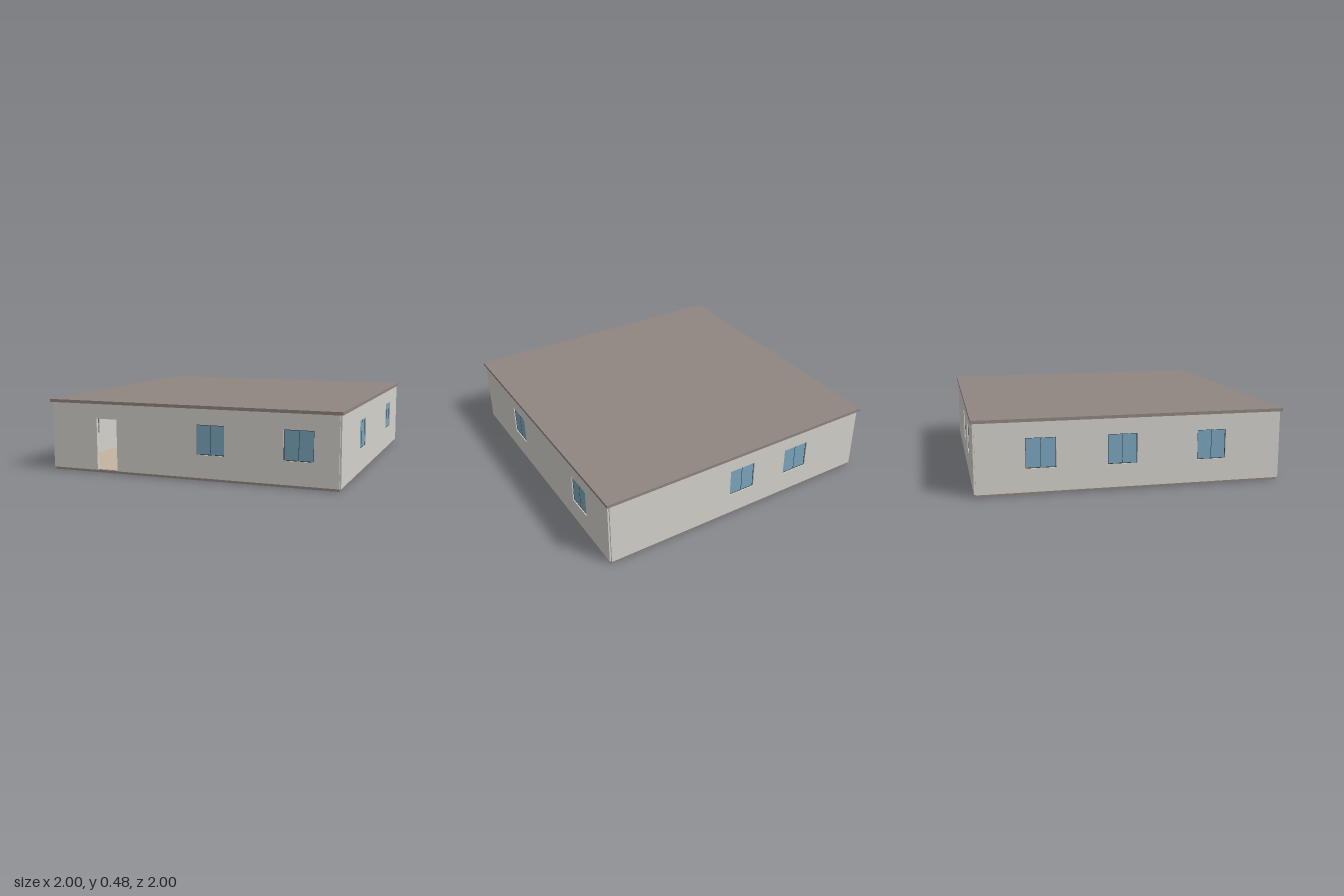
import * as THREE from 'three';

const mat = (color) => new THREE.MeshStandardMaterial({ color });
const wallMat = mat(0xd3d1cb);
const roofMat = mat(0x8f8580);
const floorMat = mat(0xc4b3a0);
const glassMat = mat(0x7ba6bd);
const frameMat = mat(0x3a4248);

const AXIS = 0.98;        // distance of the wall centre lines from the middle
const THICK = 0.02;
const BASE = 0.017;       // top of the slab
const EAVES = 0.458;
const SILL = 0.166, HEAD = 0.357, WIN = 0.19;

function box(name, material, w, h, d, x, y, z) {
  const mesh = new THREE.Mesh(new THREE.BoxGeometry(w, h, d), material);
  mesh.name = name;
  mesh.position.set(x, y, z);
  return mesh;
}

function rectPath(x0, y0, x1, y1, PathType = THREE.Path) {
  const p = new PathType();
  p.moveTo(x0, y0);
  p.lineTo(x1, y0);
  p.lineTo(x1, y1);
  p.lineTo(x0, y1);
  p.closePath();
  return p;
}

// Two-pane window set back in the middle of the wall thickness
function makeWindow(u) {
  const g = new THREE.Group();
  g.name = 'window';
  const h = HEAD - SILL, f = 0.004, d = 0.006;
  g.add(box('glass', glassMat, WIN, h, 0.003, 0, 0, 0));
  for (const s of [-1, 1]) {
    g.add(box('frameSide', frameMat, f, h, d, s * (WIN - f) / 2, 0, 0));
    g.add(box('frameRail', frameMat, WIN, f, d, 0, s * (h - f) / 2, 0));
  }
  g.add(box('mullion', frameMat, f * 0.7, h, d, 0, 0, 0));
  g.position.set(u, (SILL + HEAD) / 2, AXIS);
  return g;
}

// One outer wall facing local +z, with its openings cut through
function makeWall(name, angle, windows, door) {
  const g = new THREE.Group();
  g.name = name;
  const shape = new THREE.Shape();
  shape.moveTo(-AXIS, BASE);
  if (door) {
    // the doorway is a notch reaching down to the slab
    shape.lineTo(door[0], BASE);
    shape.lineTo(door[0], 0.36);
    shape.lineTo(door[1], 0.36);
    shape.lineTo(door[1], BASE);
  }
  shape.lineTo(AXIS, BASE);
  shape.lineTo(AXIS, EAVES);
  shape.lineTo(-AXIS, EAVES);
  shape.closePath();
  for (const u of windows) {
    shape.holes.push(rectPath(u - WIN / 2, SILL, u + WIN / 2, HEAD));
    g.add(makeWindow(u));
  }
  const geo = new THREE.ExtrudeGeometry(shape, { depth: THICK, bevelEnabled: false });
  geo.translate(0, 0, AXIS - THICK / 2);
  const panel = new THREE.Mesh(geo, wallMat);
  panel.name = name + 'Panel';
  g.add(panel);
  g.rotation.y = angle;
  return g;
}

export function createModel() {
  const house = new THREE.Group();
  house.name = 'house';

  // Ground slab and inside floor
  house.add(box('slab', roofMat, AXIS * 2, BASE, AXIS * 2, 0, BASE / 2, 0));
  const inner = 2 * AXIS - THICK;
  house.add(box('floor', floorMat, inner, 0.002, inner, 0, BASE + 0.001, 0));

  // Outer walls, leaving a small notch at each corner
  house.add(makeWall('frontWall', 0, [0.157, 0.73], [-0.65, -0.502]));
  house.add(makeWall('rightSideWall', Math.PI / 2, [-0.367, 0.585]));
  house.add(makeWall('backWall', Math.PI, [0, 0.445]));
  house.add(makeWall('leftSideWall', -Math.PI / 2, [-0.58, -0.065, 0.52]));

  // Inside partition beyond the doorway
  const edge = -0.555, end = inner / 2;
  house.add(box('partition', wallMat, end - edge, EAVES - BASE, THICK,
    (end + edge) / 2, (EAVES + BASE) / 2, 0));

  // Flat overhanging roof
  house.add(box('roof', roofMat, 2, 0.02, 2, 0, EAVES + 0.01, 0));
  return house;
}
